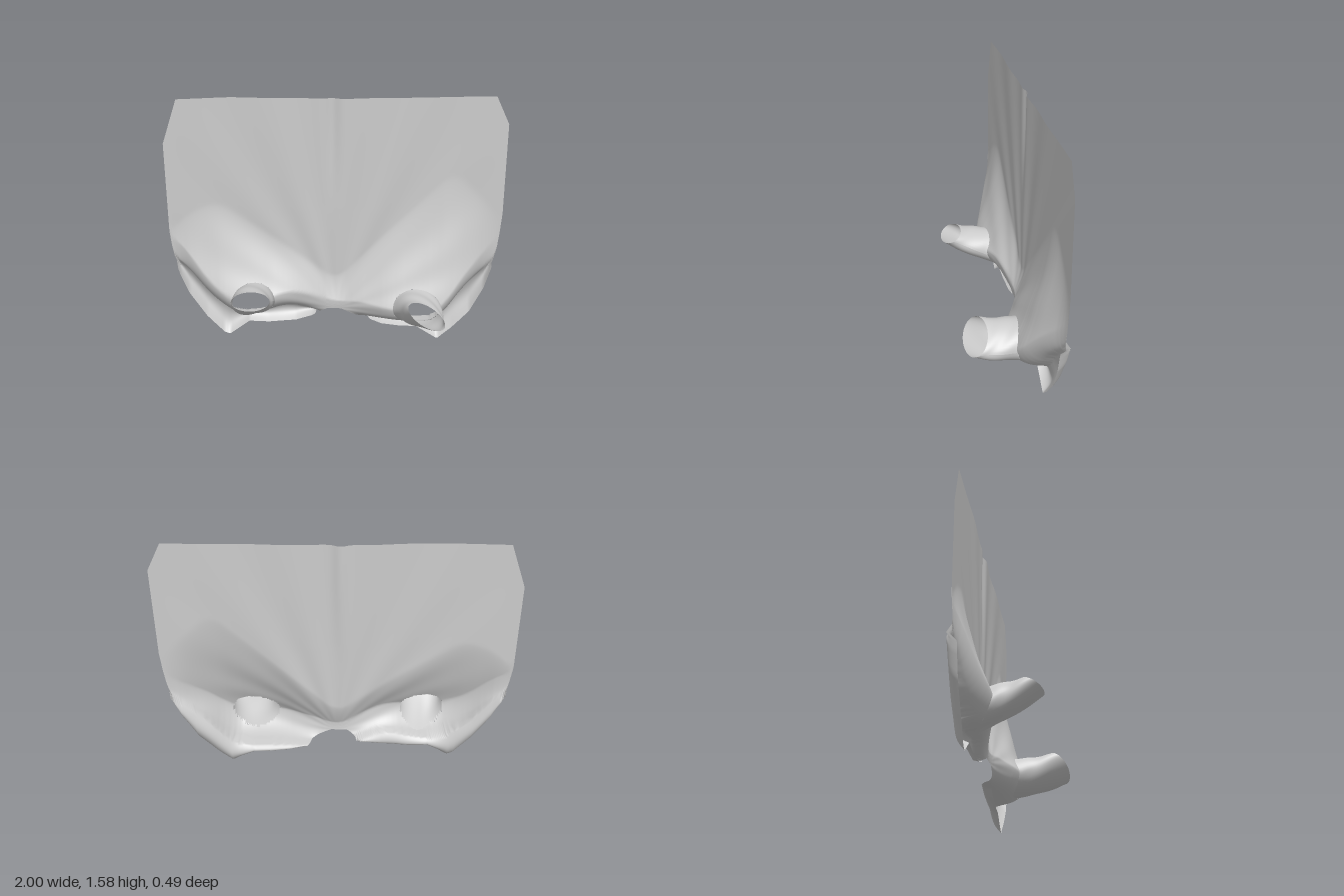
import * as THREE from 'three';

// piecewise-linear curve through [x, value] points
const along = (pts, x) => {
  let i = 0;
  while (i < pts.length - 2 && x > pts[i + 1][0]) i++;
  const [a, b] = [pts[i], pts[i + 1]];
  return THREE.MathUtils.lerp(a[1], b[1], THREE.MathUtils.clamp((x - a[0]) / (b[0] - a[0]), 0, 1));
};

// cloth outline: upper edge and hem
const TOP = [[-1, 1.31], [-0.91, 1.575], [-0.6, 1.585], [0, 1.57], [0.92, 1.578], [1, 1.41]];
const HEM = [[-1, 0.76], [-0.985, 0.62], [-0.95, 0.48], [-0.9, 0.35], [-0.8, 0.19], [-0.7, 0.075], [-0.665, 0.06],
  [-0.54, 0.15], [-0.42, 0.142], [-0.25, 0.155], [-0.15, 0.185], [-0.06, 0.24], [0.03, 0.24], [0.15, 0.18],
  [0.28, 0.12], [0.4, 0.1], [0.5, 0.095], [0.635, 0.005], [0.72, 0.08], [0.83, 0.2], [0.91, 0.36], [0.96, 0.53],
  [0.985, 0.66], [1, 0.85]];
// bulge: depth, upper limit and the ledge under it
const DEPTH = [[-0.97, 0], [-0.82, 0.08], [-0.64, 0.16], [-0.5, 0.17], [-0.36, 0.13], [-0.07, 0.045], [0.02, 0.04],
  [0.15, 0.09], [0.34, 0.18], [0.5, 0.2], [0.62, 0.19], [0.78, 0.1], [0.95, 0]];
const RISE = [[-1, 0.75], [-0.88, 0.88], [-0.7, 0.95], [-0.3, 0.66], [0, 0.42], [0.25, 0.68], [0.7, 1.13], [0.88, 0.95], [1, 0.8]];
const LEDGE = [[-1, 0.6], [-0.9, 0.53], [-0.8, 0.37], [-0.66, 0.25], [-0.58, 0.215], [-0.45, 0.23], [-0.3, 0.27],
  [-0.15, 0.23], [0, 0.15], [0.1, 0.18], [0.35, 0.165], [0.55, 0.155], [0.64, 0.18], [0.72, 0.3], [0.82, 0.41], [1, 0.58]];

// average over a small window so that the folds stay soft
const soft = (pts, x) => [-0.06, -0.03, 0, 0.03, 0.06].reduce((s, o) => s + along(pts, x + o), 0) / 5;

function clothZ(x, y) {
  const d = soft(DEPTH, x), rise = soft(RISE, x), ledge = soft(LEDGE, x), hem = along(HEM, x);
  const peak = ledge + 0.13;
  // faint pleats fanning out from the low middle
  const r = Math.hypot(x, y - 0.24), a = Math.atan2(x, y - 0.24);
  let z = -0.21 + 0.005 * Math.sin(a * 19 + 1) * Math.min(1, r * 1.5) * Math.max(0, 1 - Math.abs(x));
  z -= 0.018 * Math.exp(-(((x + 0.02) / 0.04) ** 2)) * THREE.MathUtils.smoothstep(y, 0.7, 1.5);
  if (y > peak) return z + d * THREE.MathUtils.clamp((rise - y) / (rise - peak), 0, 1) ** 1.4;
  if (y > ledge) return z + d * Math.sqrt(Math.max(0, 1 - ((peak - y) / (peak - ledge)) ** 2));
  const t = (ledge - y) / Math.max(0.02, ledge - hem);
  return z - 0.03 * Math.sin(Math.PI * Math.min(1, t)) + 0.025 * Math.min(1, t) ** 3;
}

// sleeves: base ellipse on the cloth, slanted open rim at the tip
const SLEEVES = [
  { name: 'leftSleeve', x: 0.485, y: 0.3, rx: 0.145, ry: 0.115, tip: [0.52, 0.365, 0.18], tr: [0.11, 0.04, 0.068], skew: -0.5 },
  { name: 'rightSleeve', x: -0.505, y: 0.345, rx: 0.13, ry: 0.115, tip: [-0.51, 0.455, 0.135], tr: [0.112, 0.03, 0.062], skew: 0 },
];

const material = new THREE.MeshStandardMaterial({ color: 0xcccccc, side: THREE.DoubleSide });

// grid of points (cols x rows) to a smooth surface, leaving out cells that skip() rejects
function surface(name, cols, rows, point, skip = () => false) {
  const pos = [], index = [];
  for (let i = 0; i <= cols; i++) for (let j = 0; j <= rows; j++) pos.push(...point(i / cols, j / rows));
  for (let i = 0; i < cols; i++) for (let j = 0; j < rows; j++) {
    const a = i * (rows + 1) + j, b = a + rows + 1;
    if (skip((pos[a * 3] + pos[b * 3 + 3]) / 2, (pos[a * 3 + 1] + pos[b * 3 + 4]) / 2)) continue;
    index.push(a, b, b + 1, a, b + 1, a + 1);
  }
  const g = new THREE.BufferGeometry();
  g.setAttribute('position', new THREE.Float32BufferAttribute(pos, 3));
  g.setIndex(index);
  g.computeVertexNormals();
  const mesh = new THREE.Mesh(g, material);
  mesh.name = name;
  return mesh;
}

export function createModel() {
  const group = new THREE.Group();
  group.name = 'drapedCloth';

  // main sheet with an opening behind each sleeve
  group.add(surface('clothSheet', 200, 110, (u, v) => {
    const x = u * 2 - 1, lo = along(HEM, x), hi = along(TOP, x);
    const y = lo + (hi - lo) * v ** 1.6;
    return [x, y, clothZ(x, y)];
  }, (x, y) => SLEEVES.some((s) => Math.hypot((x - s.x) / s.rx, (y - s.y) / s.ry) < 0.97)));

  // sleeves pushed forward out of the sheet
  for (const s of SLEEVES) {
    group.add(surface(s.name, 48, 14, (u, v) => {
      const a = u * Math.PI * 2, c = Math.cos(a), n = Math.sin(a);
      const bx = s.x + s.rx * c, by = s.y + s.ry * n;
      const tx = s.tip[0] + s.tr[0] * c;
      const ty = s.tip[1] + s.tr[1] * n + s.skew * s.tr[0] * c;
      const tz = s.tip[2] - s.tr[2] * n;
      // sagging underside and slight crumples
      const mid = Math.sin(Math.PI * v), sag = n < 0 ? 0.02 * n * mid : 0;
      const fold = 1 + 0.04 * mid * Math.sin(3 * a + 5 * v);
      const e = v ** 0.8;
      return [
        THREE.MathUtils.lerp(bx, tx, e) + s.rx * c * (fold - 1),
        THREE.MathUtils.lerp(by, ty, v) + sag + s.ry * n * (fold - 1),
        THREE.MathUtils.lerp(clothZ(bx, by), tz, v),
      ];
    }));
  }
  return group;
}
